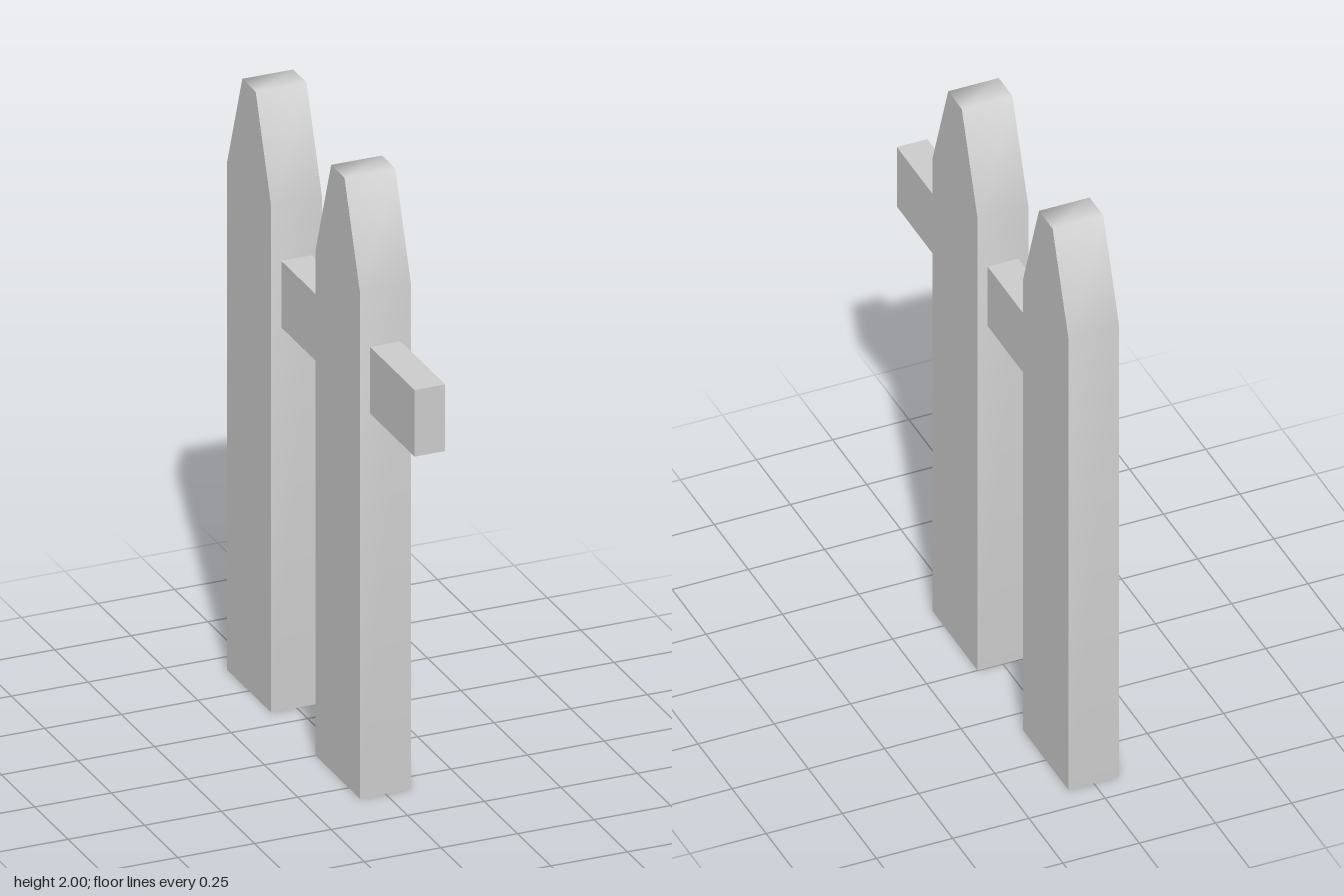
import * as THREE from 'three';
import { toCreasedNormals } from 'three/addons/utils/BufferGeometryUtils.js';

const material = new THREE.MeshStandardMaterial({ color: 0xcccccc });

// Pointed board: profile in z-y, extruded along x, shading smooth over the tip
function picketGeometry() {
  const halfWidth = 1 / 6, tip = 0.05, thickness = 0.166;
  const profile = new THREE.Shape([
    [-halfWidth, 0], [halfWidth, 0], [halfWidth, 1.67],
    [tip, 2], [-tip, 2], [-halfWidth, 1.67],
  ].map(([z, y]) => new THREE.Vector2(z, y)));
  const board = new THREE.ExtrudeGeometry(profile, { depth: thickness, bevelEnabled: false });
  board.translate(0, 0, -thickness / 2).rotateY(-Math.PI / 2);
  return toCreasedNormals(board, 1.35);
}

export function createModel() {
  const fence = new THREE.Group();
  fence.name = 'fence';

  // Two upright pickets
  const geometry = picketGeometry();
  [['frontPicket', 1 / 6], ['backPicket', -0.5]].forEach(([name, z]) => {
    const picket = new THREE.Mesh(geometry, material);
    picket.name = name;
    picket.position.z = z;
    fence.add(picket);
  });

  // Horizontal rail, passing through the front picket and ending inside the back one
  const front = 0.667, back = -0.4;
  const rail = new THREE.Mesh(new THREE.BoxGeometry(0.1, 0.22, front - back), material);
  rail.name = 'rail';
  rail.position.set(0, 1.375, (front + back) / 2);
  fence.add(rail);

  return fence;
}
